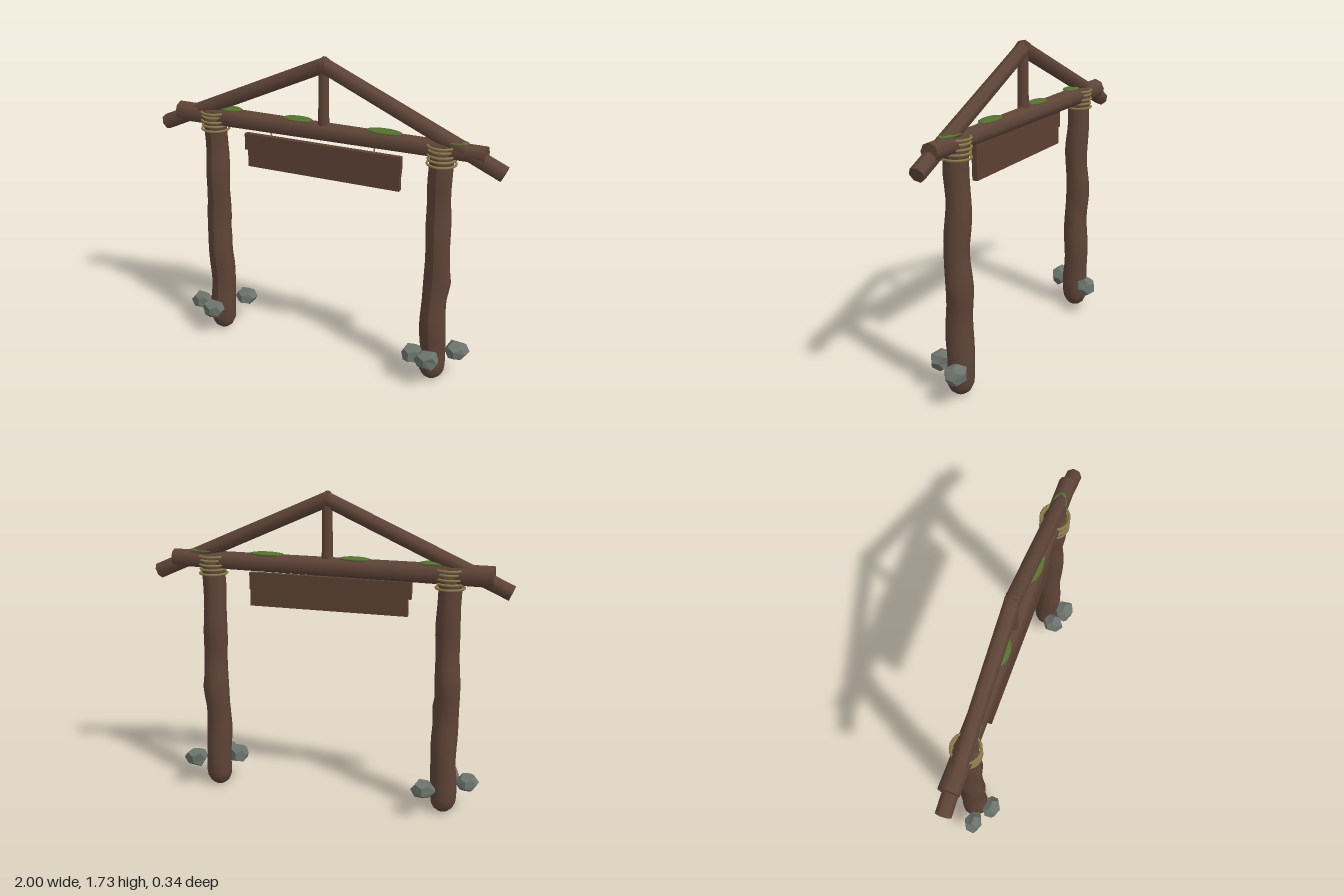
import * as THREE from 'three';

const mat = (name, color, extra = {}) => {
  const m = new THREE.MeshStandardMaterial({ color, ...extra });
  m.name = name;
  return m;
};

export function createModel() {
  const root = new THREE.Group();
  root.name = 'timberGateway';
  const wood = mat('bark brown', 0x5e4438);
  const plankWood = mat('plank brown', 0x5c4033);
  const rope = mat('rope tan', 0x8b7a4b);
  const moss = mat('moss green', 0x55702f);
  const stone = mat('stone grey', 0x6c736c);

  const add = (name, geo, material, x = 0, y = 0, z = 0, parent = root) => {
    const mesh = new THREE.Mesh(geo, material);
    mesh.name = name;
    mesh.position.set(x, y, z);
    parent.add(mesh);
    return mesh;
  };

  // Round log between two points, r0 at the start and r1 at the end
  const log = (name, a, b, r0, r1, sides, material = wood) => {
    const from = new THREE.Vector3(...a), to = new THREE.Vector3(...b);
    const dir = to.clone().sub(from);
    const mesh = add(name, new THREE.CylinderGeometry(r1, r0, dir.length(), sides), material);
    mesh.position.copy(from).add(to).multiplyScalar(0.5);
    mesh.quaternion.setFromUnitVectors(new THREE.Vector3(0, 1, 0), dir.normalize());
    return mesh;
  };

  // Gnarled post: rounded foot, wavering trunk and a knot on its +x side
  const postGeometry = (phase) => {
    const profile = [[0, 0], [0.03, 0.006], [0.053, 0.025], [0.068, 0.055], [0.072, 0.09]];
    for (let i = 1; i <= 22; i++) {
      const t = i / 22;
      profile.push([0.073 - 0.011 * t, 0.09 + 1.25 * t]);
    }
    profile.push([0, 1.345]);
    const geo = new THREE.LatheGeometry(profile.map(p => new THREE.Vector2(...p)), 12);
    const p = geo.attributes.position;
    for (let i = 0; i < p.count; i++) {
      const x = p.getX(i), y = p.getY(i), z = p.getZ(i);
      const r = Math.hypot(x, z);
      if (r < 1e-5) continue;
      const fade = Math.min(1, y / 0.2) * Math.min(1, (1.345 - y) / 0.2);
      const ripple = 1 + 0.03 * fade * Math.sin(y * 21 + phase);
      const knot = 0.016 * Math.exp(-(((y - 0.58) / 0.035) ** 2)) * Math.max(0, x / r) ** 4;
      p.setX(i, x * ripple + knot + 0.005 * fade * Math.sin(y * 9 + phase));
      p.setZ(i, z * ripple + 0.006 * fade * Math.sin(y * 15 + 1 + phase));
    }
    geo.computeVertexNormals();
    return geo;
  };

  // Posts with their rope lashings
  for (const [side, x] of [['right', -0.662], ['left', 0.655]]) {
    add(side + 'Post', postGeometry(x * 2), wood, x);
    const lashing = new THREE.Group();
    lashing.name = side + 'RopeLashing';
    root.add(lashing);
    [1.258, 1.283, 1.308, 1.333, 1.355].forEach((y, i) => {
      const ring = add('ropeTurn', new THREE.TorusGeometry(0.071 + (i % 2 ? 0 : 0.004), 0.0065, 6, 20),
        rope, x, y, 0, lashing);
      ring.rotation.x = Math.PI / 2;
    });
  }

  // Roof frame: tie beam, two crossing rafters and the king post
  log('crossBeam', [-0.887, 1.328, -0.004], [0.884, 1.333, -0.004], 0.057, 0.048, 8);
  for (const s of [-1, 1]) {
    log(s < 0 ? 'rightRafter' : 'leftRafter', [s * 0.981, 1.25, 0], [-s * 0.022, 1.697, 0], 0.043, 0.041, 7);
  }
  log('kingPost', [0, 1.345, 0], [0, 1.69, 0], 0.031, 0.029, 8);

  // Hanging sign of two offset planks on two cords
  add('upperSignPlank', new THREE.BoxGeometry(0.905, 0.092, 0.03), plankWood, -0.002, 1.222, 0.028);
  add('lowerSignPlank', new THREE.BoxGeometry(0.883, 0.096, 0.03), plankWood, 0.005, 1.13, 0.028);
  for (const x of [-0.3, 0.3]) {
    log('signCord', [x, 1.26, 0.028], [x, 1.33, 0.028], 0.004, 0.004, 6, rope);
  }

  // Moss cushions lying along the beam: x, half length
  for (const [x, half] of [[-0.56, 0.066], [-0.152, 0.085], [0.34, 0.1], [0.7, 0.095]]) {
    const patch = add('mossPatch', new THREE.SphereGeometry(1, 14, 8), moss, x, 1.38, -0.002);
    patch.scale.set(half, 0.011, 0.043);
  }

  // Irregular stones around the post feet: x, z, half sizes in x and z
  const stoneGeometry = (seed) => {
    const geo = new THREE.DodecahedronGeometry(1);
    const p = geo.attributes.position;
    const v = new THREE.Vector3();
    for (let i = 0; i < p.count; i++) {
      v.fromBufferAttribute(p, i);
      const n = Math.sin(v.x * 3.1 + seed) + Math.sin(v.y * 4.3 + seed * 2) + Math.sin(v.z * 3.7 + seed * 3);
      v.multiplyScalar(1 + 0.06 * n);
      p.setXYZ(i, v.x, v.y, v.z);
    }
    geo.computeVertexNormals();
    return geo;
  };
  [
    [-0.575, -0.115, 0.068, 0.058], [-0.667, 0.107, 0.07, 0.056], [-0.785, 0.036, 0.06, 0.058],
    [0.66, 0.108, 0.07, 0.057], [0.562, 0.07, 0.062, 0.058], [0.78, -0.048, 0.067, 0.063],
  ].forEach(([x, z, rx, rz], i) => {
    const rock = add('footStone', stoneGeometry(i * 1.7 + 1), stone, x, 0.167, z);
    rock.scale.set(rx, 0.058, rz);
  });

  return root;
}
